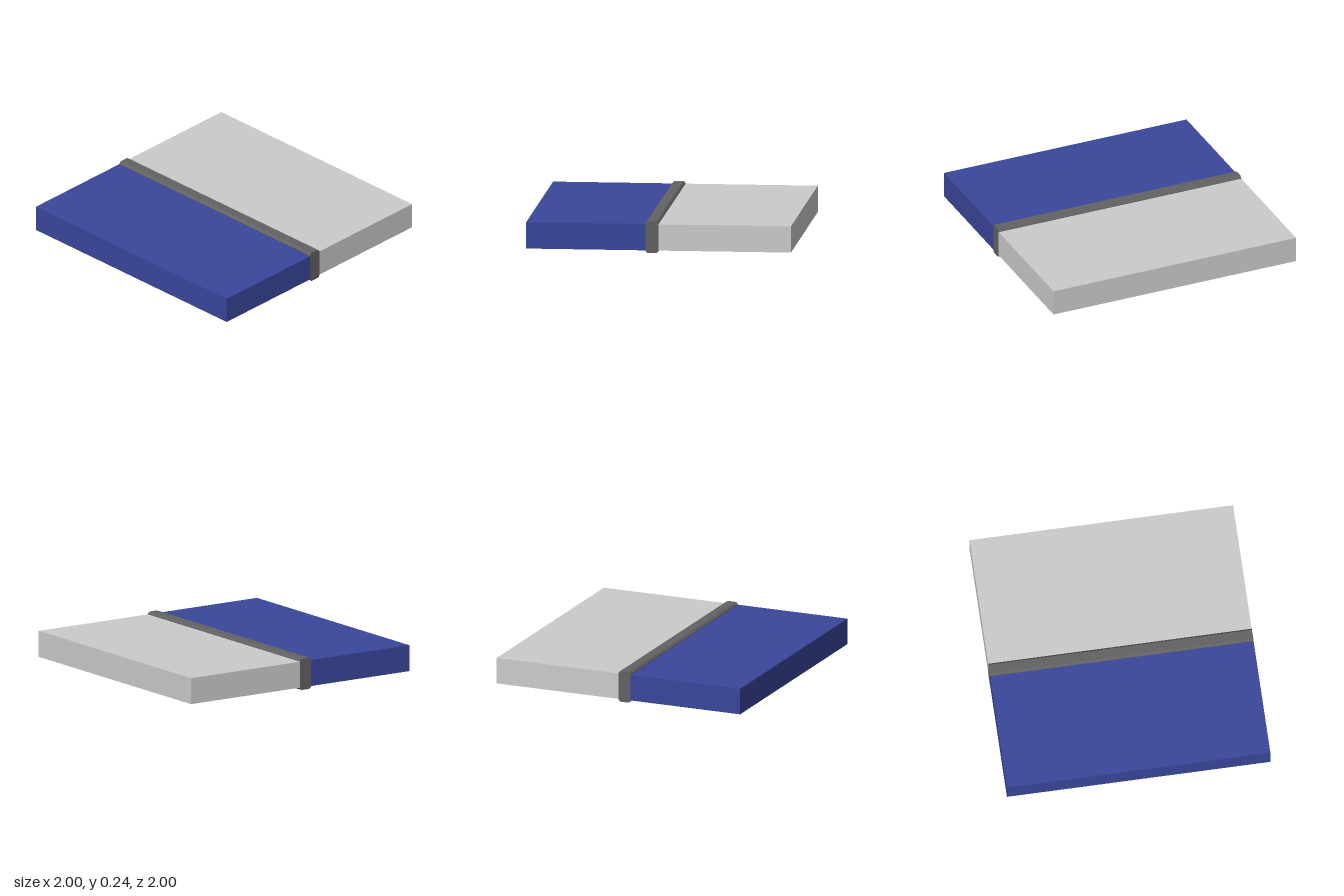
import * as THREE from 'three';

export function createModel() {
  const model = new THREE.Group();

  const add = (name, geometry, color, x, y, z) => {
    const material = new THREE.MeshStandardMaterial({ color, flatShading: true });
    const mesh = new THREE.Mesh(geometry, material);
    mesh.name = name;
    mesh.position.set(x, y, z);
    model.add(mesh);
  };

  // Two flat slabs, in front of and behind the dividing strip
  add('frontSlab', new THREE.BoxGeometry(2, 0.2, 0.9), 0x3a469b, 0, 0.12, 0.55);
  add('rearSlab', new THREE.BoxGeometry(2, 0.2, 1), 0xcccccc, 0, 0.12, -0.5);

  // Slightly taller strip with chamfered long edges, swept along x
  const w = 0.05, h = 0.12, c = 0.015;
  const profile = new THREE.Shape([
    [-w + c, -h], [w - c, -h], [w, -h + c], [w, h - c],
    [w - c, h], [-w + c, h], [-w, h - c], [-w, -h + c],
  ].map(([x, y]) => new THREE.Vector2(x, y)));
  const strip = new THREE.ExtrudeGeometry(profile, { depth: 2, bevelEnabled: false });
  strip.translate(0, 0, -1).rotateY(Math.PI / 2);
  add('dividingStrip', strip, 0x626262, 0, h, w);

  return model;
}
